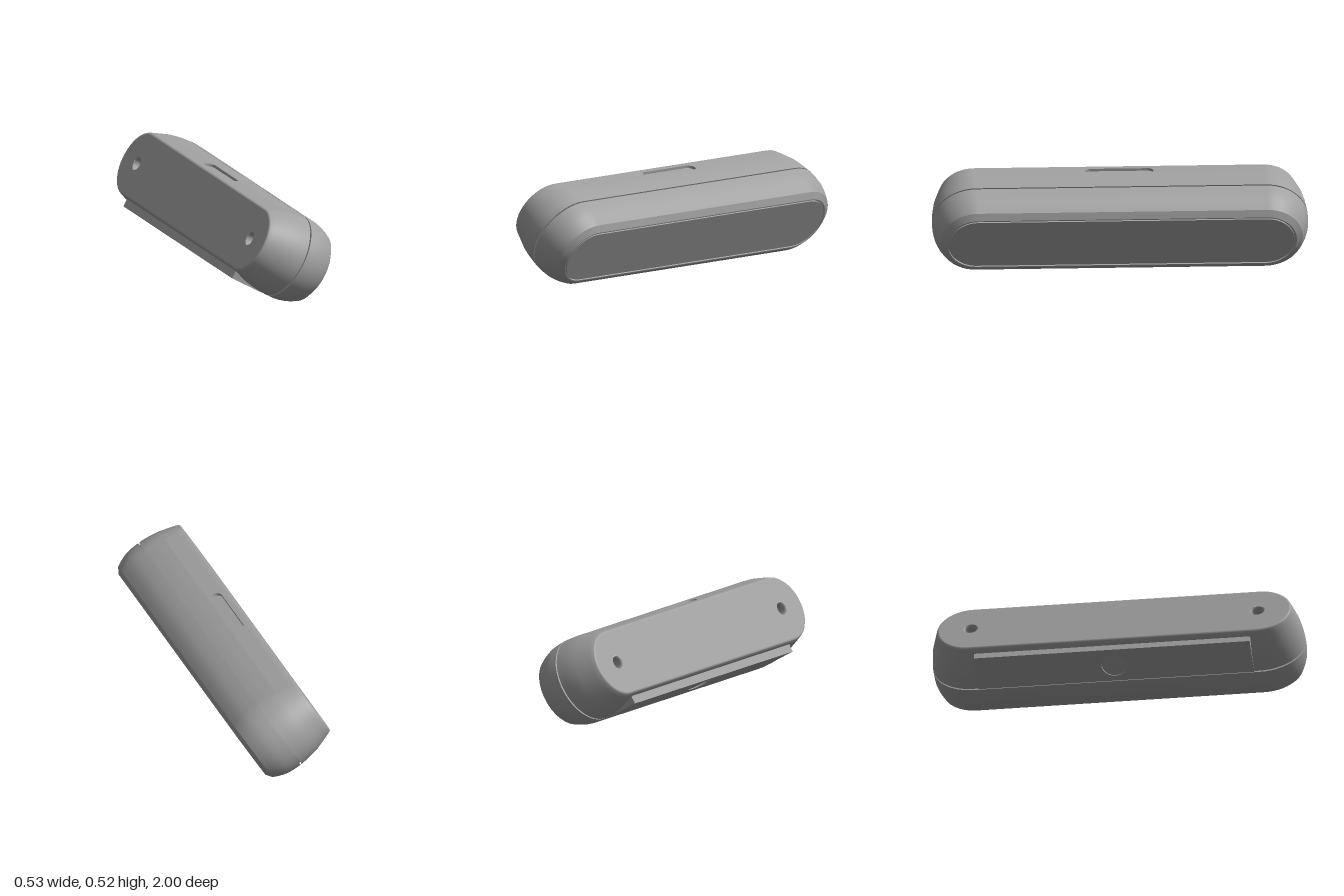
import * as THREE from 'three';

const HALF = 0.769; // half length of the straight section
const ARC = 24;     // segments per rounded end
const grey = new THREE.MeshStandardMaterial({ color: 0xa0a0a0 });
grey.name = 'satin grey';

function part(parent, name, geometry) {
  const mesh = new THREE.Mesh(geometry, grey);
  mesh.name = name;
  parent.add(mesh);
  return mesh;
}

// Stadium outline, long axis on shape x or y
function stadium(half, r, alongY = false, Type = THREE.Shape) {
  const s = new Type();
  if (alongY) {
    s.absarc(0, half, r, 0, Math.PI);
    s.absarc(0, -half, r, Math.PI, Math.PI * 2);
  } else {
    s.absarc(half, 0, r, -Math.PI / 2, Math.PI / 2);
    s.absarc(-half, 0, r, Math.PI / 2, Math.PI * 1.5);
  }
  s.closePath();
  return s;
}

// Sweep a profile of [x, radius] points around the stadium outline
function sweep(profile, skipStrip = -1) {
  const pos = [], index = [], n = 2 * (ARC + 1);
  for (const [x, r] of profile) {
    for (let side = 0; side < 2; side++) {
      for (let k = 0; k <= ARC; k++) {
        const a = Math.PI * (side + k / ARC);
        pos.push(x, r * Math.cos(a), (side ? -HALF : HALF) + r * Math.sin(a));
      }
    }
  }
  for (let i = 0; i < profile.length - 1; i++) {
    for (let j = 0; j < n; j++) {
      if (i === skipStrip && j === n - 1) continue; // opening on the straight top
      const j2 = (j + 1) % n;
      const a = i * n + j, b = i * n + j2, c = a + n, d = b + n;
      index.push(a, b, c, b, d, c);
    }
  }
  const g = new THREE.BufferGeometry();
  g.setAttribute('position', new THREE.Float32BufferAttribute(pos, 3));
  g.setIndex(index);
  g.computeVertexNormals();
  return g;
}

function rectangle(w, h) {
  return new THREE.Shape([[-w, -h], [w, -h], [w, h], [-w, h]].map(([x, y]) => new THREE.Vector2(x / 2, y / 2)));
}

export function createModel() {
  const model = new THREE.Group();
  model.name = 'tiltedCapsuleDevice';
  const body = new THREE.Group();
  body.name = 'body';
  body.rotation.z = -Math.PI / 6;
  body.position.set(0.115, 0.1992, 0);
  model.add(body);

  // Rear shell, with an opening for the button recess
  const p = [-0.31, 0.189], q = [-0.228, 0.2155];
  part(body, 'rearShell', sweep([
    [-0.338, 0.170], [-0.3365, 0.176], [-0.331, 0.181], p, [-0.27, 0.2025], q,
    [-0.181, 0.224], [-0.145, 0.2285], [-0.109, 0.231]
  ].filter(v => v[0] !== -0.27), 3));

  // Seam groove between the shells
  const seam = [[-0.109, 0.231], [-0.109, 0.219], [-0.101, 0.219], [-0.101, 0.231]];
  for (let i = 0; i < 3; i++) part(body, 'seamGroove', sweep(seam.slice(i, i + 2)));

  // Front shell and its bevel
  part(body, 'frontShell', sweep([
    [-0.101, 0.231], [-0.065, 0.2305], [-0.03, 0.227], [0, 0.2195], [0.03, 0.208], [0.057, 0.195]
  ]));
  part(body, 'frontBevel', sweep([[0.057, 0.195], [0.0795, 0.162]]));

  // Front rim and the groove around the panel
  const rim = [[0.0795, 0.162], [0.0795, 0.156], [0.069, 0.156], [0.069, 0.149], [0.0795, 0.149]];
  for (let i = 0; i < 4; i++) part(body, 'panelGroove', sweep(rim.slice(i, i + 2)));
  const panel = part(body, 'frontPanel', new THREE.ShapeGeometry(stadium(HALF, 0.149), ARC));
  panel.geometry.rotateY(Math.PI / 2).translate(0.0795, 0, 0);

  // Flat rear face with two screw holes
  const rear = stadium(HALF, 0.170);
  for (const z of [-HALF, HALF]) {
    rear.holes.push(new THREE.Path().absarc(z, 0, 0.038, 0, Math.PI * 2, true));
  }
  part(body, 'rearFace', new THREE.ShapeGeometry(rear, ARC).rotateY(-Math.PI / 2).translate(-0.338, 0, 0));

  // Threaded sockets
  const thread = [new THREE.Vector2(0, 0.1)];
  for (let i = 10; i >= 0; i--) thread.push(new THREE.Vector2(i % 2 ? 0.029 : 0.038, i * 0.01));
  for (const z of [-HALF, HALF]) {
    const socket = part(body, 'threadedSocket', new THREE.LatheGeometry(thread, 24));
    socket.geometry.rotateZ(-Math.PI / 2);
    socket.position.set(-0.338, 0, z);
  }

  // Button recess set flush in the top opening
  const dx = q[0] - p[0], dy = q[1] - p[1], depth = 0.014;
  const recess = new THREE.Group();
  recess.name = 'buttonRecess';
  recess.position.set((p[0] + q[0]) / 2, (p[1] + q[1]) / 2, 0);
  recess.rotation.z = Math.atan2(dy, dx);
  body.add(recess);
  const frame = rectangle(Math.hypot(dx, dy), 2 * HALF);
  frame.holes.push(stadium(0.15, 0.032, true, THREE.Path));
  part(recess, 'recessFrame', new THREE.ExtrudeGeometry(frame, { depth, bevelEnabled: false, curveSegments: 12 })
    .rotateX(-Math.PI / 2).translate(0, -depth, 0));
  part(recess, 'button', new THREE.BoxGeometry(0.08, 0.006, 0.4)).position.y = -depth - 0.003;

  // Flat foot under the rear shell with a round opening
  const sole = rectangle(0.2, 1.48);
  sole.holes.push(new THREE.Path().absarc(0, 0, 0.068, 0, Math.PI * 2, true));
  const foot = part(body, 'foot', new THREE.ExtrudeGeometry(sole, { depth: 0.052, bevelEnabled: false, curveSegments: 24 }));
  foot.geometry.rotateX(Math.PI / 2);
  foot.position.set(-0.206, -0.1815, 0);

  return model;
}
